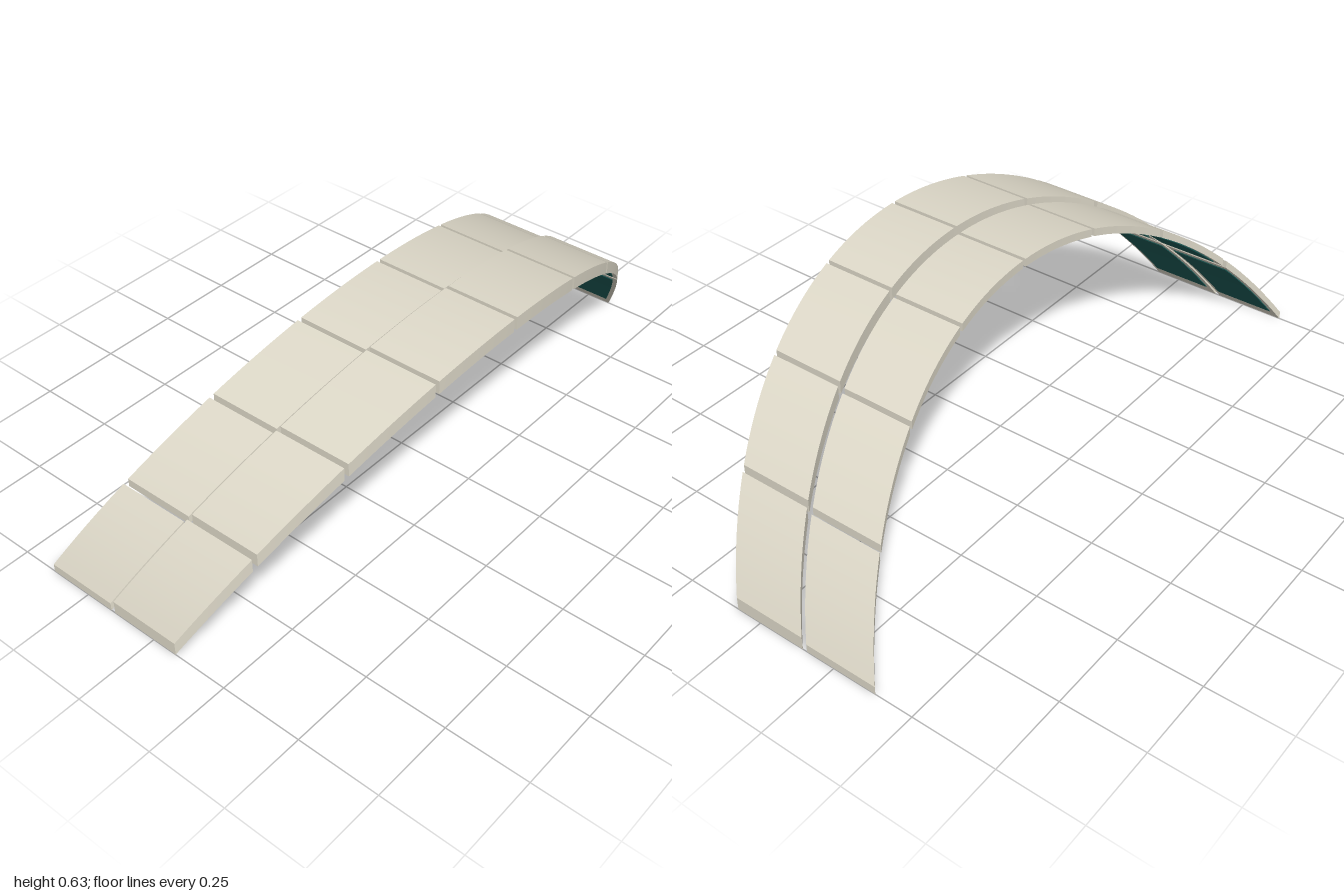
import * as THREE from 'three';

const R = 1.1425;          // arch radius
const TOP = 0.63;          // crown height
const SLANT = 0.514;       // sideways lean per unit of drop
const PANELS = 8;
const GAP = 0.006;         // half the joint between panels
const BORDER = 0.016;      // frame left visible around each lining

const shell = new THREE.MeshStandardMaterial({ color: 0xddd8c8 });
const lining = new THREE.MeshStandardMaterial({ color: 0x1d5c58 });

const drop = (z) => R - Math.sqrt(R * R - z * z);

// Box bent along the arch; high and low are measured from the crown curve
function slab(name, material, x0, x1, z0, z1, high, low) {
  const geo = new THREE.BoxGeometry(1, 1, 1, 1, 1, 10);
  const p = geo.attributes.position;
  for (let i = 0; i < p.count; i++) {
    const z = THREE.MathUtils.lerp(z0, z1, p.getZ(i) + 0.5);
    const d = drop(z);
    const x = (p.getX(i) < 0 ? x0 : x1) - SLANT * d;
    const y = TOP - d - (p.getY(i) > 0 ? high : low);
    p.setXYZ(i, x, y, z);
  }
  geo.computeVertexNormals();
  const mesh = new THREE.Mesh(geo, material);
  mesh.name = name;
  return mesh;
}

export function createModel() {
  const model = new THREE.Group();
  model.name = 'slantedArch';

  // The right-hand strip is thinner and its top sits slightly lower
  const strips = [
    { name: 'rightStrip', x0: -0.082, x1: 0.143, high: 0.015 },
    { name: 'leftStrip', x0: 0.157, x1: 0.383, high: 0 },
  ];
  const half = Math.asin(1 / R);

  for (const s of strips) {
    const strip = new THREE.Group();
    strip.name = s.name;
    for (let i = 0; i < PANELS; i++) {
      // Joints at equal angles, open gaps between neighbours
      const edge = (k) => R * Math.sin(half * (2 * k / PANELS - 1));
      const z0 = edge(i) + (i > 0 ? GAP : 0);
      const z1 = edge(i + 1) - (i < PANELS - 1 ? GAP : 0);
      strip.add(slab('panel', shell, s.x0, s.x1, z0, z1, s.high, 0.04));
      // Dark lining under the panel
      strip.add(slab('lining', lining, s.x0 + BORDER, s.x1 - BORDER,
        z0 + BORDER, z1 - BORDER, 0.036, 0.044));
    }
    model.add(strip);
  }
  return model;
}
